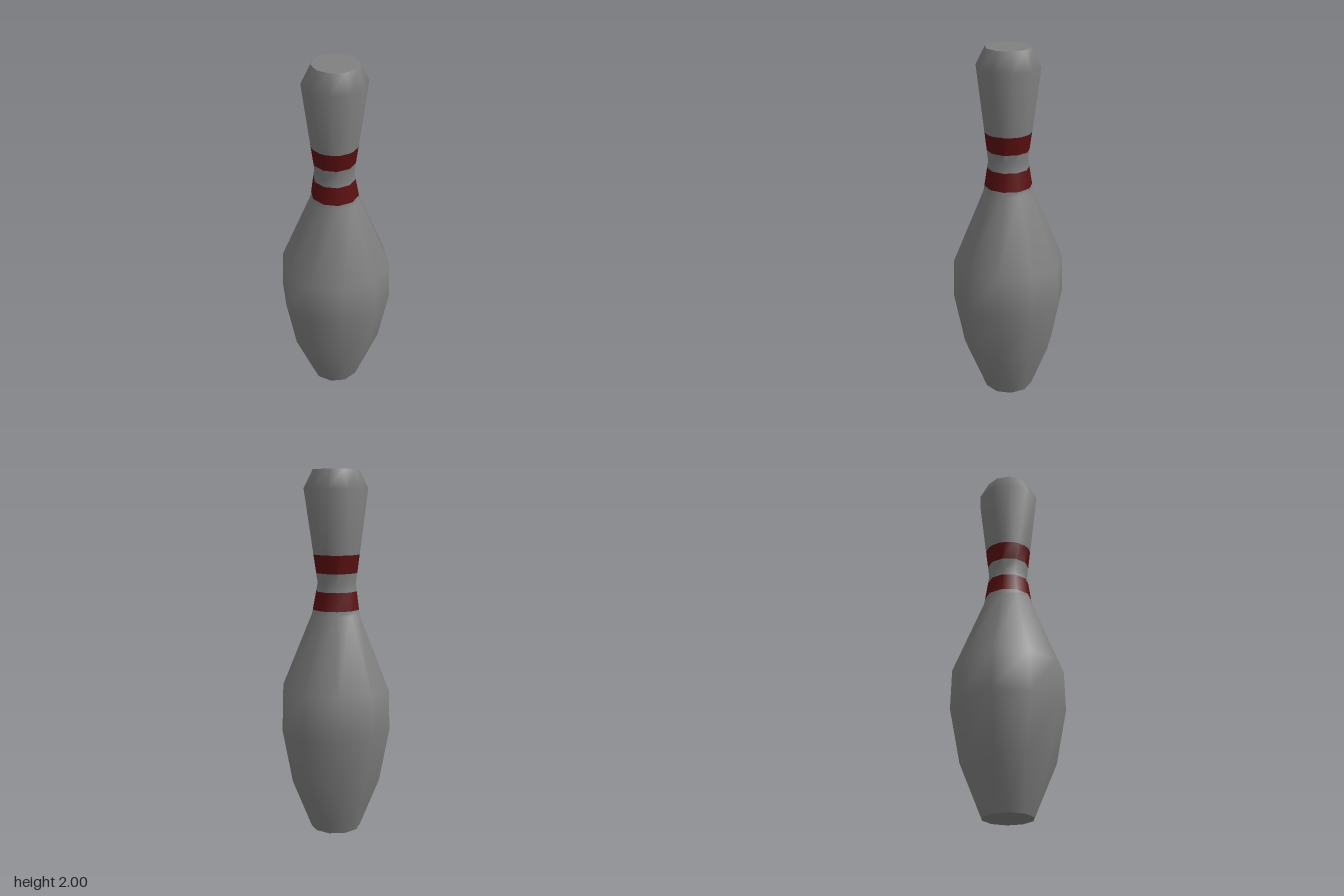
import * as THREE from 'three';
import { mergeVertices } from 'three/addons/utils/BufferGeometryUtils.js';

const SIDES = 10;
const STEP = (Math.PI * 2) / SIDES;

// Profile rings: height, radius, x offset, and whether the ring is turned half a side
const RINGS = [
  { y: 0, r: 0.138, cx: -0.002, turned: false },
  { y: 0.29, r: 0.253, cx: 0, turned: true },
  { y: 0.59, r: 0.31, cx: 0, turned: true },
  { y: 0.81, r: 0.304, cx: 0, turned: true },
  { y: 1.22, r: 0.135, cx: -0.002, turned: true },
  { y: 1.39, r: 0.108, cx: -0.007, turned: true },
  { y: 1.9, r: 0.173, cx: -0.003, turned: false },
  { y: 2, r: 0.122, cx: -0.003, turned: false },
];
const STRIPES = { lowerStripe: [1.25, 1.35], upperStripe: [1.45, 1.55] };

// Each ring has 20 points in coinciding pairs, so turned and straight rings join in triangles
function ringPoints({ y, r, cx, turned }) {
  return Array.from({ length: SIDES * 2 }, (_, k) => {
    const a = turned ? (Math.floor(k / 2) + 0.5) * STEP : (Math.ceil(k / 2) % SIDES) * STEP;
    return new THREE.Vector3(cx + Math.cos(a) * r, y, Math.sin(a) * r);
  });
}

// Cross-section at any height, straight between the neighbouring rings
function sectionAt(y) {
  const i = Math.min(RINGS.findLastIndex((ring) => ring.y <= y), RINGS.length - 2);
  const t = (y - RINGS[i].y) / (RINGS[i + 1].y - RINGS[i].y);
  const upper = ringPoints(RINGS[i + 1]);
  return ringPoints(RINGS[i]).map((p, k) => p.lerp(upper[k], t));
}

export function createModel() {
  const group = new THREE.Group();
  const grey = new THREE.MeshStandardMaterial({ name: 'pinGrey', color: 0x808080 });
  const red = new THREE.MeshStandardMaterial({ name: 'stripeRed', color: 0x5a0f10 });

  // Skin: all bands share one set of points so that shading stays smooth across the stripes
  const heights = [...RINGS.map((ring) => ring.y), ...Object.values(STRIPES).flat()].sort((a, b) => a - b);
  const sections = heights.map(sectionAt);
  const positions = [];
  const bands = [];
  const addTriangle = (a, b, c) => {
    const area = new THREE.Triangle(a, b, c).getArea();
    if (area > 1e-7) for (const p of [a, b, c]) positions.push(p.x, p.y, p.z);
  };
  for (let j = 0; j < heights.length - 1; j++) {
    const start = positions.length / 3;
    const [low, high] = [sections[j], sections[j + 1]];
    for (let k = 0; k < low.length; k++) {
      const n = (k + 1) % low.length;
      addTriangle(low[k], high[k], low[n]);
      addTriangle(low[n], high[k], high[n]);
    }
    const middle = (heights[j] + heights[j + 1]) / 2;
    const stripe = Object.keys(STRIPES).find((s) => middle > STRIPES[s][0] && middle < STRIPES[s][1]);
    bands.push({ name: stripe ?? 'body', start, end: positions.length / 3 });
  }
  const loose = new THREE.BufferGeometry();
  loose.setAttribute('position', new THREE.Float32BufferAttribute(positions, 3));
  const skin = mergeVertices(loose, 1e-4);
  skin.computeVertexNormals();

  // Body and the two neck stripes
  for (const name of ['body', ...Object.keys(STRIPES)]) {
    const geometry = skin.clone();
    const index = bands
      .filter((band) => band.name === name)
      .flatMap((band) => Array.from(skin.index.array.slice(band.start, band.end)));
    geometry.setIndex(index);
    const mesh = new THREE.Mesh(geometry, name === 'body' ? grey : red);
    mesh.name = name;
    group.add(mesh);
  }

  // Flat ends
  for (const [name, ring, turn] of [['base', RINGS[0], 1], ['crown', RINGS.at(-1), -1]]) {
    const cap = new THREE.Mesh(new THREE.CircleGeometry(ring.r, SIDES), grey);
    cap.name = name;
    cap.rotation.x = (turn * Math.PI) / 2;
    cap.position.set(ring.cx, ring.y, 0);
    group.add(cap);
  }
  return group;
}
